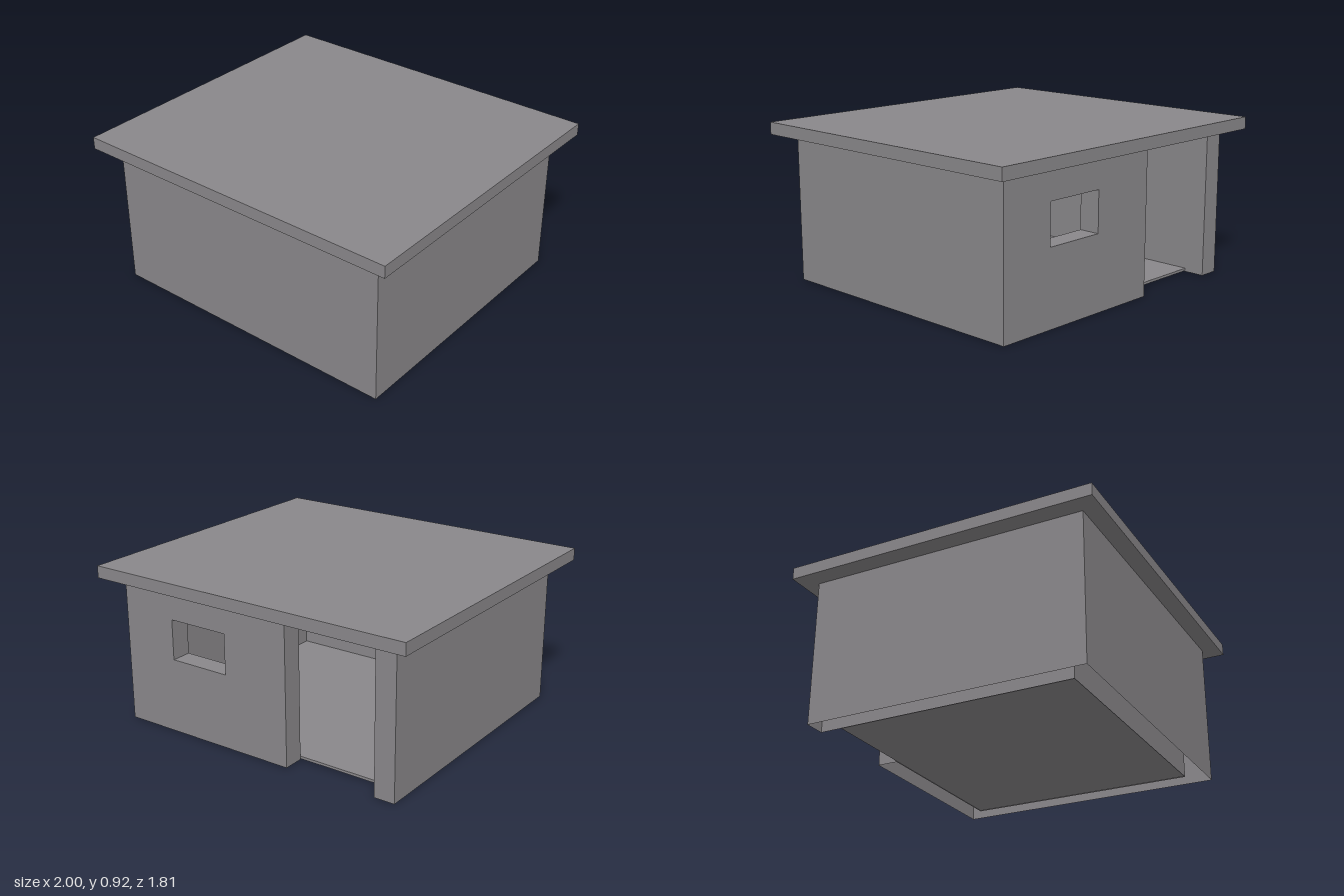
import * as THREE from 'three';

const H = 0.85;                       // wall height
const X = 0.89, Z = 0.807;            // outer footprint
const XI = 0.768, ZI = 0.686;         // inner footprint
const DOOR = -0.215;                  // door jamb on the window side
const WIN = { x0: 0.188, x1: 0.557, y0: 0.434, y1: 0.668 };

// Upright panel over the plan segment a -> b, with an optional window opening
function panel(a, b, y0, y1, withWindow) {
  const dx = b[0] - a[0], dz = b[1] - a[1], len = Math.hypot(dx, dz);
  const shape = new THREE.Shape([[0, y0], [len, y0], [len, y1], [0, y1]].map(p => new THREE.Vector2(...p)));
  if (withWindow) {
    const u0 = Math.abs(WIN.x0 - a[0]), u1 = Math.abs(WIN.x1 - a[0]);
    shape.holes.push(new THREE.Path(
      [[u0, WIN.y0], [u0, WIN.y1], [u1, WIN.y1], [u1, WIN.y0]].map(p => new THREE.Vector2(...p))));
  }
  return new THREE.ShapeGeometry(shape)
    .rotateY(Math.atan2(-dz, dx))
    .translate(a[0], 0, a[1]);
}

export function createModel() {
  const model = new THREE.Group();
  model.name = 'house';
  const concrete = new THREE.MeshStandardMaterial({ color: 0x8a888b, side: THREE.DoubleSide });
  concrete.name = 'concrete grey';

  const add = (name, geometry, parent = model) => {
    const mesh = new THREE.Mesh(geometry, concrete);
    mesh.name = name;
    parent.add(mesh);
    return mesh;
  };

  // Hollow walls, open underneath: the plan outline with a doorway gap at the back
  const walls = new THREE.Group();
  walls.name = 'walls';
  model.add(walls);
  const plan = [
    ['backOuter', X, -Z], ['doorJamb', DOOR, -Z], ['backInner', DOOR, -ZI],
    ['leftInner', XI, -ZI], ['frontInner', XI, ZI], ['rightInner', -XI, ZI],
    ['doorPier', -XI, -Z], ['rightOuter', -X, -Z], ['frontOuter', -X, Z], ['leftOuter', X, Z],
  ];
  plan.forEach(([name, x, z], i) => {
    const [, nx, nz] = plan[(i + 1) % plan.length];
    add(name, panel([x, z], [nx, nz], 0, H, name === 'backOuter' || name === 'backInner'), walls);
  });

  // Window reveal: two jambs, sill and head
  const reveal = new THREE.Group();
  reveal.name = 'windowReveal';
  model.add(reveal);
  add('jambRight', panel([WIN.x0, -ZI], [WIN.x0, -Z], WIN.y0, WIN.y1), reveal);
  add('jambLeft', panel([WIN.x1, -Z], [WIN.x1, -ZI], WIN.y0, WIN.y1), reveal);
  for (const [name, y, turn] of [['sill', WIN.y0, -1], ['head', WIN.y1, 1]]) {
    add(name, new THREE.PlaneGeometry(WIN.x1 - WIN.x0, Z - ZI)
      .rotateX(turn * Math.PI / 2)
      .translate((WIN.x0 + WIN.x1) / 2, y, -(Z + ZI) / 2), reveal);
  }

  // Thin floor slab inside the walls
  add('floor', new THREE.BoxGeometry(2 * XI, 0.015, 2 * ZI)).position.y = 0.0125;

  // Flat overhanging roof
  add('roof', new THREE.BoxGeometry(2, 0.07, 1.812)).position.y = H + 0.035;

  return model;
}
